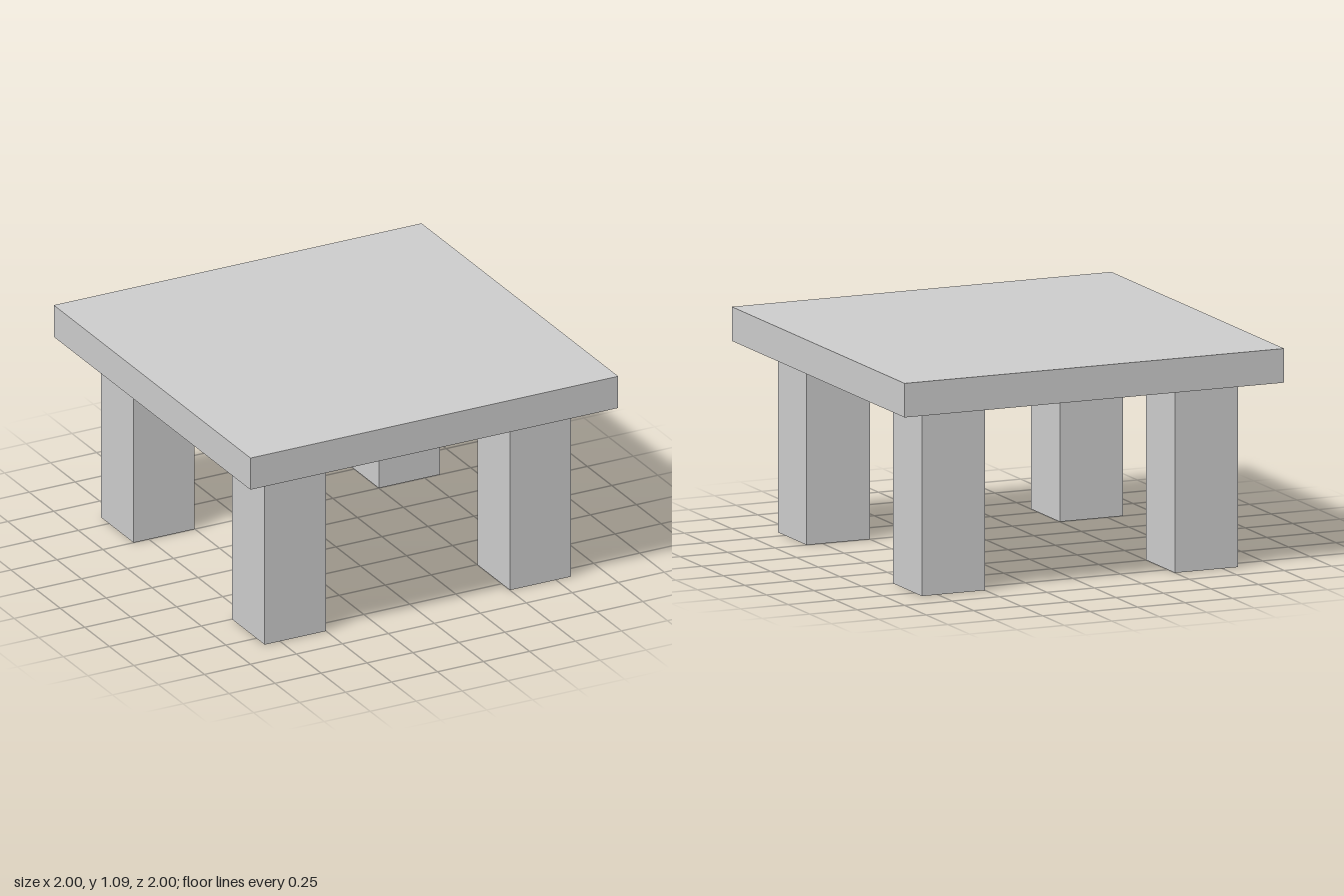
import * as THREE from 'three';

const LEG_HEIGHT = 0.92;
const LEG_WIDTH = 0.333;
const LEG_OFFSET = 0.667; // leg centre from the table's centre line
const TOP_SIZE = 2;
const TOP_THICKNESS = 0.167;

export function createModel() {
  const table = new THREE.Group();
  table.name = 'table';
  const material = new THREE.MeshStandardMaterial({ color: 0xcccccc, flatShading: true });

  // Adds a box standing on the given base height
  const addBox = (name, width, height, x, baseY, z) => {
    const mesh = new THREE.Mesh(new THREE.BoxGeometry(width, height, width), material);
    mesh.name = name;
    mesh.position.set(x, baseY + height / 2, z);
    table.add(mesh);
  };

  // Square slab top
  addBox('tableTop', TOP_SIZE, TOP_THICKNESS, 0, LEG_HEIGHT, 0);

  // Four square legs, inset from the corners
  for (const [sideX, nameX] of [[1, 'Left'], [-1, 'Right']]) {
    for (const [sideZ, nameZ] of [[1, 'front'], [-1, 'back']]) {
      addBox(`${nameZ}${nameX}Leg`, LEG_WIDTH, LEG_HEIGHT, sideX * LEG_OFFSET, 0, sideZ * LEG_OFFSET);
    }
  }

  return table;
}
